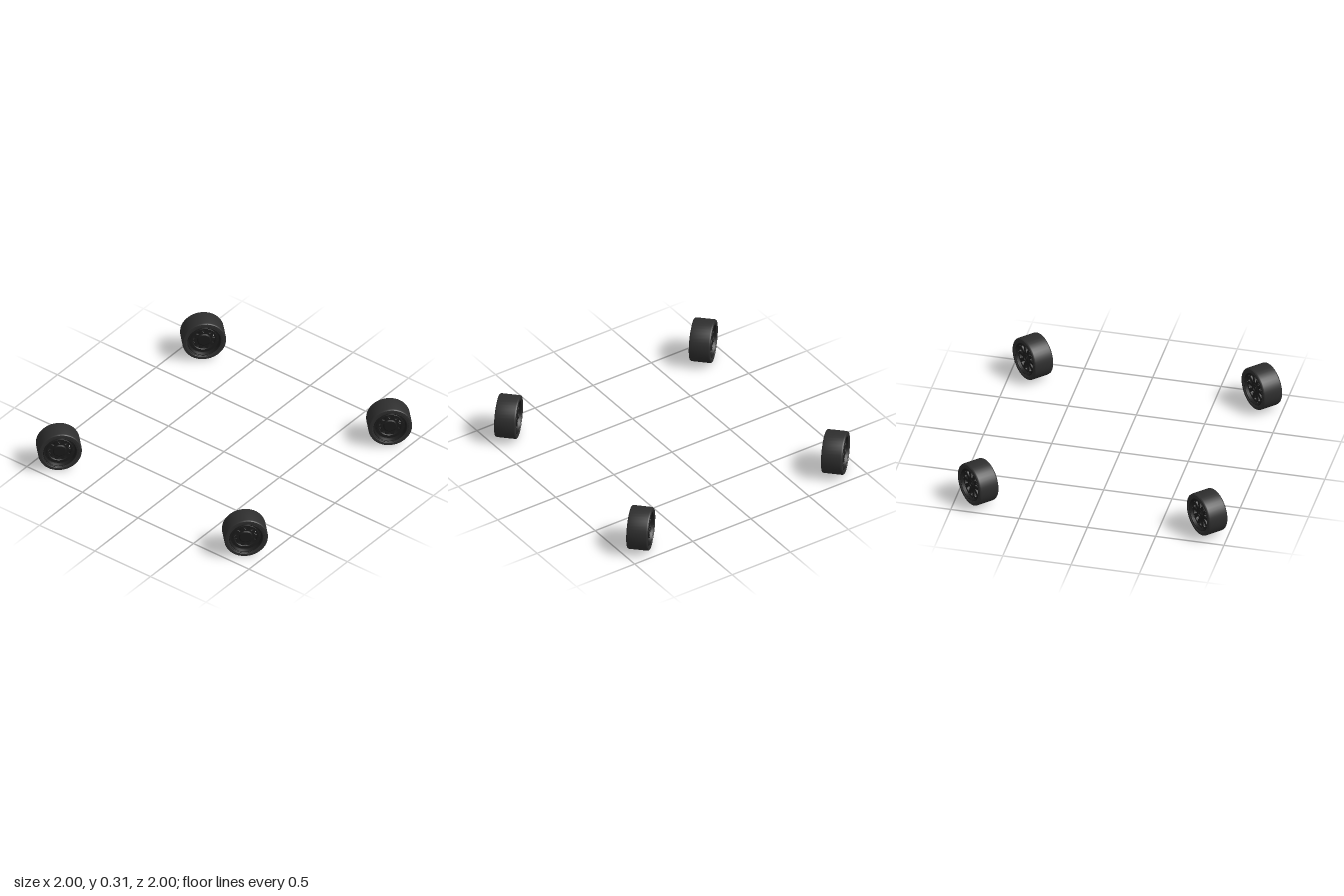
import * as THREE from 'three';
import { toCreasedNormals } from 'three/addons/utils/BufferGeometryUtils.js';

const rubber = new THREE.MeshStandardMaterial({ color: 0x2e2e2e });
rubber.name = 'tyre rubber';
const metal = new THREE.MeshStandardMaterial({ color: 0x1c1c1c });
metal.name = 'dark rim';

// Closed profile [radius, along axle] turned about the axle (z)
function turned(points, segments = 40) {
  const pts = [...points, points[0]].map(([r, y]) => new THREE.Vector2(r, y));
  return toCreasedNormals(new THREE.LatheGeometry(pts, segments).rotateX(Math.PI / 2), 0.5);
}

// Mirror half a profile (upper half, listed outside to inside) to the other side
function symmetric(half) {
  const lower = half.map(([r, y]) => [r, -y]).reverse();
  return [...lower, ...half];
}

// Spoked disc: a plate pierced by a ring of windows that widen outwards
function spokedDisc(count, inner, outer, radius, depth) {
  const shape = new THREE.Shape().absarc(0, 0, radius, 0, Math.PI * 2);
  const polar = (r, a) => [r * Math.cos(a), r * Math.sin(a)];
  for (let i = 0; i < count; i++) {
    const a = (i / count) * Math.PI * 2 + Math.PI / count;
    const w = (Math.PI / count) * 0.66;
    const hole = new THREE.Path();
    hole.moveTo(...polar(inner, a - w * 0.5));
    hole.lineTo(...polar(outer - 0.012, a - w));
    hole.quadraticCurveTo(...polar(outer, a - w), ...polar(outer, a - w * 0.5));
    hole.lineTo(...polar(outer, a + w * 0.5));
    hole.quadraticCurveTo(...polar(outer, a + w), ...polar(outer - 0.012, a + w));
    hole.lineTo(...polar(inner, a + w * 0.5));
    hole.quadraticCurveTo(...polar(inner - 0.008, a), ...polar(inner, a - w * 0.5));
    shape.holes.push(hole);
  }
  const geo = new THREE.ExtrudeGeometry(shape, {
    depth, curveSegments: 20, steps: 1,
    bevelEnabled: true, bevelSize: 0.002, bevelThickness: 0.003, bevelSegments: 1,
  });
  return toCreasedNormals(geo, 0.5);
}

const geometries = {
  tyre: turned(symmetric([
    [0.157, 0.066], [0.1555, 0.072], [0.152, 0.0765], [0.146, 0.0775],
    [0.132, 0.0775], [0.13, 0.074], [0.124, 0.073], [0.12, 0.066],
  ])),
  barrel: turned(symmetric([
    [0.122, 0.07], [0.121, 0.073], [0.117, 0.073], [0.115, 0.066], [0.11, 0.055], [0.108, 0.04],
  ])),
  spokes: spokedDisc(10, 0.052, 0.101, 0.11, 0.012),
  backPlate: spokedDisc(10, 0.066, 0.092, 0.109, 0.01),
  hub: turned([
    [0, -0.056], [0.042, -0.056], [0.05, -0.05], [0.05, -0.03], [0.036, -0.02],
    [0.036, 0.054], [0.032, 0.059], [0.024, 0.059], [0.022, 0.054], [0, 0.054],
  ], 32),
  backRing: turned([
    [0.084, -0.052], [0.096, -0.052], [0.1, -0.044], [0.1, -0.034], [0.08, -0.034], [0.08, -0.046],
  ]),
  cap: new THREE.CylinderGeometry(0.012, 0.015, 0.006, 20).rotateX(Math.PI / 2),
  nut: new THREE.CylinderGeometry(0.004, 0.004, 0.008, 6).rotateX(Math.PI / 2),
};

// One wheel about the origin, its spoked side facing +z
function createWheel() {
  const wheel = new THREE.Group();
  const add = (name, geometry, material, x = 0, y = 0, z = 0) => {
    const mesh = new THREE.Mesh(geometry, material);
    mesh.name = name;
    mesh.position.set(x, y, z);
    wheel.add(mesh);
  };
  add('tyre', geometries.tyre, rubber);
  add('rimBarrel', geometries.barrel, metal);
  add('spokes', geometries.spokes, metal, 0, 0, 0.04);
  add('backPlate', geometries.backPlate, metal, 0, 0, -0.045);
  add('backRing', geometries.backRing, metal);
  add('hub', geometries.hub, metal);
  add('hubCap', geometries.cap, metal, 0, 0, 0.056);
  for (let i = 0; i < 10; i++) {
    const a = (i / 10) * Math.PI * 2;
    add('rimBolt', geometries.nut, metal, 0.104 * Math.cos(a), 0.104 * Math.sin(a), 0.056);
  }
  return wheel;
}

export function createModel() {
  const model = new THREE.Group();
  model.name = 'wheelSet';
  // Four wheels, all turned the same way
  for (const z of [1, -1]) {
    for (const x of [1, -1]) {
      const wheel = createWheel();
      wheel.name = (z > 0 ? 'front' : 'back') + (x > 0 ? 'Left' : 'Right') + 'Wheel';
      wheel.position.set(x * 0.838, 0.157, z * 0.838);
      wheel.rotation.y = Math.PI * 0.75;
      model.add(wheel);
    }
  }
  return model;
}
